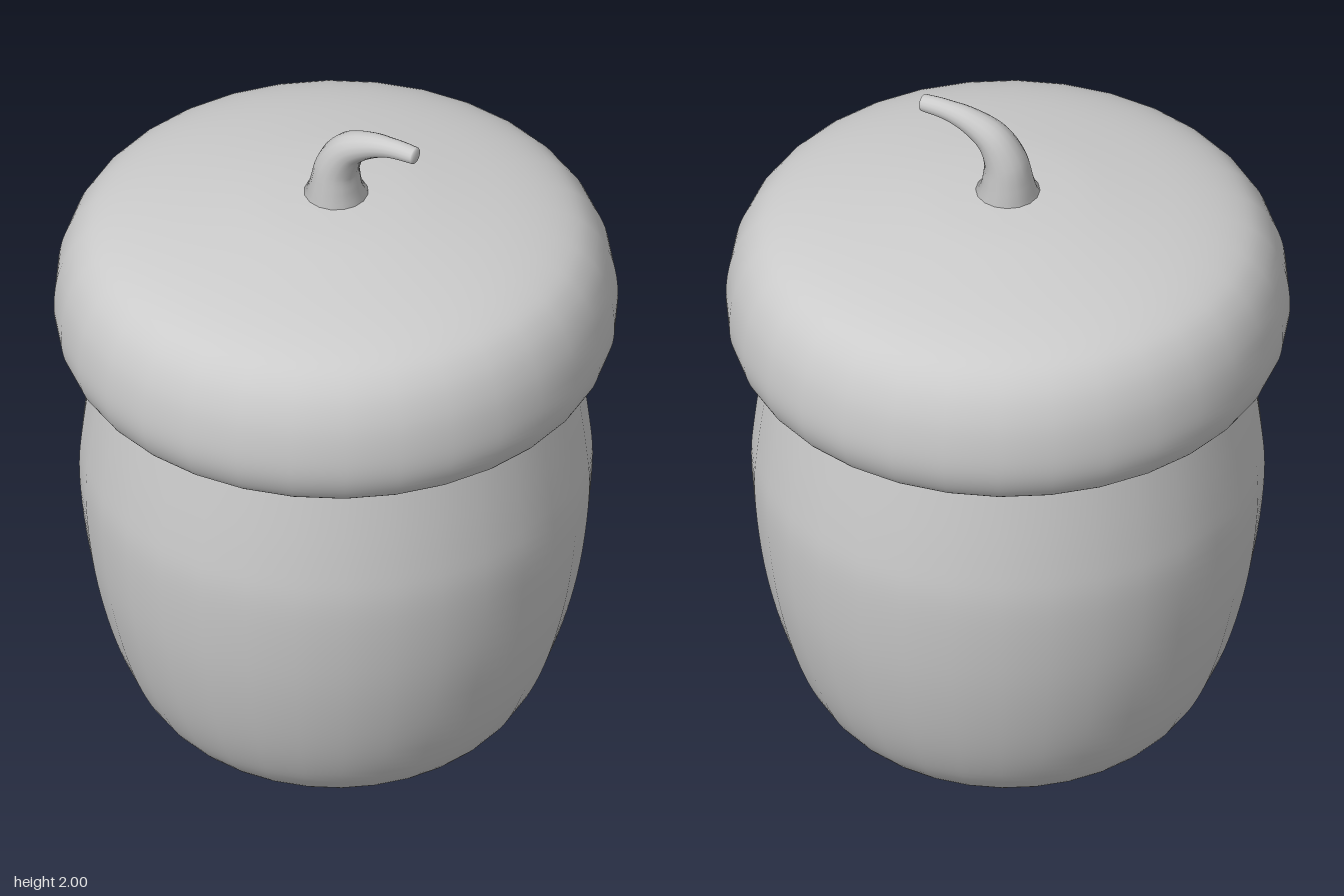
import * as THREE from 'three';

const material = new THREE.MeshStandardMaterial({ color: 0xcccccc, side: THREE.DoubleSide });

function addMesh(group, name, geometry) {
  const mesh = new THREE.Mesh(geometry, material);
  mesh.name = name;
  group.add(mesh);
  return mesh;
}

// Smooth surface of revolution through a few [radius, height] points
function turned(points, steps) {
  const curve = new THREE.SplineCurve(points.map(([r, y]) => new THREE.Vector2(r, y)));
  const profile = curve.getPoints(steps);
  profile.forEach((p) => { p.x = Math.max(p.x, 0); p.y = Math.max(p.y, 0); });
  return new THREE.LatheGeometry(profile, 32);
}

// Tube whose radius follows a list of [fraction of length, radius]
function taperedTube(curve, radii, steps, sides) {
  const geometry = new THREE.TubeGeometry(curve, steps, 1, sides);
  const pos = geometry.attributes.position;
  const v = new THREE.Vector3();
  for (let i = 0; i <= steps; i++) {
    const u = i / steps;
    const centre = curve.getPointAt(u);
    const k = Math.max(1, radii.findIndex(([t]) => t >= u));
    const [t0, r0] = radii[k - 1];
    const [t1, r1] = radii[k];
    const radius = THREE.MathUtils.mapLinear(u, t0, t1, r0, r1);
    for (let j = 0; j <= sides; j++) {
      const n = i * (sides + 1) + j;
      v.fromBufferAttribute(pos, n).sub(centre).multiplyScalar(radius).add(centre);
      pos.setXYZ(n, v.x, v.y, v.z);
    }
  }
  return geometry;
}

export function createModel() {
  const group = new THREE.Group();
  group.name = 'acorn';

  // Nut with a small point underneath
  addMesh(group, 'nut', turned([
    [0, 0], [0.02, 0.006], [0.026, 0.022], [0.05, 0.04], [0.2, 0.083], [0.39, 0.143],
    [0.48, 0.205], [0.545, 0.31], [0.6, 0.465], [0.643, 0.66], [0.665, 0.88],
    [0.655, 1.04], [0.625, 1.26], [0.61, 1.34],
  ], 64));

  // Cap with a rolled lower rim and a shallow domed top
  addMesh(group, 'cap', turned([
    [0.59, 1.3], [0.605, 1.27], [0.64, 1.265], [0.69, 1.287], [0.723, 1.35], [0.731, 1.43],
    [0.716, 1.53], [0.675, 1.615], [0.605, 1.672], [0.465, 1.717], [0.25, 1.755],
    [0.1, 1.767], [0, 1.769],
  ], 64));

  // Stem, flared at the base and bending to the left
  const path = new THREE.CatmullRomCurve3([
    [0, 1.763], [0, 1.8], [0.007, 1.86], [0.042, 1.92], [0.11, 1.958], [0.18, 1.973], [0.24, 1.975],
  ].map(([x, y]) => new THREE.Vector3(x, y, 0)));
  addMesh(group, 'stem', taperedTube(path, [
    [0, 0.088], [0.035, 0.076], [0.09, 0.068], [0.25, 0.058], [0.42, 0.048],
    [0.62, 0.036], [0.8, 0.027], [1, 0.023],
  ], 28, 16));

  // Slightly rounded end of the stem
  const tip = addMesh(group, 'stemTip', new THREE.SphereGeometry(0.023, 16, 10));
  tip.scale.x = 0.35;
  tip.position.copy(path.getPointAt(1));

  return group;
}
